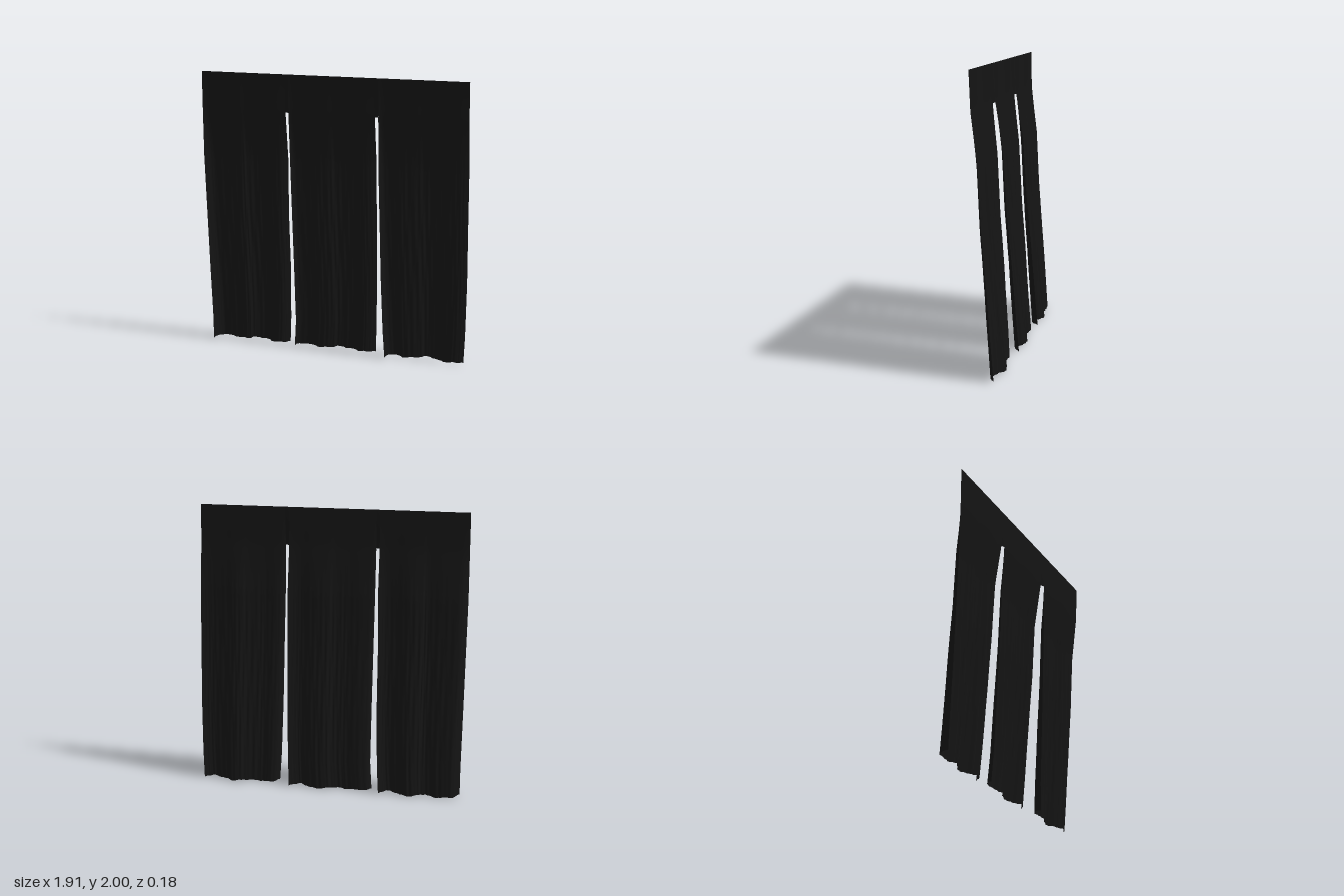
import * as THREE from 'three';

// Heights at which the hang of the cloth is described, top to bottom
const Y = [2, 1.74, 1.4, 1, 0.6, 0.2, 0];
// Foremost and rearmost depth of the folds at those heights
const FRONT = [0.088, 0.088, 0.085, 0.07, 0.055, 0.036, 0.031];
const BACK = [0.088, 0.074, 0.02, -0.003, -0.04, -0.07, -0.086];

// Side edges (x at each height) and fold profile (u across, 0 = front .. 1 = back)
const PANELS = [
  {
    name: 'rightPanel',
    left: [-0.96, -0.96, -0.96, -0.955, -0.95, -0.945, -0.945],
    right: [-0.34, -0.34, -0.342, -0.35, -0.353, -0.365, -0.378],
    fold: [[0, 0], [0.04, 0.5], [0.09, 0.75], [0.2, 0.78], [0.3, 0.74], [0.4, 0.6], [0.46, 0.62],
      [0.51, 0.85], [0.6, 1], [0.68, 0.94], [0.78, 0.64], [0.87, 0.5], [0.93, 0.58], [0.97, 0.78], [1, 0.97]],
  },
  {
    name: 'middlePanel',
    left: [-0.315, -0.315, -0.313, -0.308, -0.304, -0.302, -0.315],
    right: [0.305, 0.305, 0.305, 0.303, 0.298, 0.288, 0.28],
    fold: [[0, 0.3], [0.04, 0.66], [0.16, 0.78], [0.28, 0.66], [0.36, 0.64], [0.45, 0.7],
      [0.53, 0.97], [0.63, 1], [0.73, 0.9], [0.83, 0.62], [0.89, 0.6], [0.95, 0.75], [1, 0.97]],
  },
  {
    name: 'leftPanel',
    left: [0.333, 0.333, 0.335, 0.343, 0.35, 0.362, 0.375],
    right: [0.955, 0.955, 0.955, 0.953, 0.95, 0.94, 0.93],
    fold: [[0, 0.05], [0.04, 0.55], [0.12, 0.68], [0.22, 0.54], [0.3, 0.58], [0.42, 0.72],
      [0.51, 0.96], [0.6, 0.94], [0.7, 0.66], [0.82, 0.48], [0.9, 0.47], [0.96, 0.6], [1, 0.75]],
  },
];

// Linear lookup of a value listed against the heights
function atHeight(values, y) {
  let i = 0;
  while (i < Y.length - 2 && y < Y[i + 1]) i++;
  return THREE.MathUtils.lerp(values[i], values[i + 1], (Y[i] - y) / (Y[i] - Y[i + 1]));
}

// Grid surface from a rule giving the point for (column, row)
function sheet(cols, rows, point) {
  const pos = [], index = [];
  for (let r = 0; r <= rows; r++)
    for (let c = 0; c <= cols; c++) pos.push(...point(c / cols, r / rows));
  for (let r = 0; r < rows; r++)
    for (let c = 0; c < cols; c++) {
      const a = r * (cols + 1) + c, b = a + cols + 1;
      index.push(a, b, a + 1, b, b + 1, a + 1);
    }
  const g = new THREE.BufferGeometry();
  g.setAttribute('position', new THREE.Float32BufferAttribute(pos, 3));
  g.setIndex(index);
  g.computeVertexNormals();
  return g;
}

// Point on a panel: t runs across the folds, v runs down
function panelPoint(panel, curve, t, v) {
  const f = curve.getPoint(t);
  const y = 2 * (1 - v);
  const front = atHeight(FRONT, y), back = atHeight(BACK, y);
  // fine creases, fading out at the panel edges and near the top
  const fine = 0.003 * Math.sin(Math.PI * t) * THREE.MathUtils.smoothstep(v, 0.15, 0.5)
    * (Math.sin(t * 95 + 3 * Math.sin(v * 5)) + 0.6 * Math.sin(t * 151 + v * 9));
  // slightly uneven hem
  const hem = v ** 12 * (0.007 + 0.004 * Math.sin(t * 17) + 0.003 * Math.sin(t * 41));
  const x = THREE.MathUtils.lerp(atHeight(panel.left, y), atHeight(panel.right, y), f.x);
  return [x, y + hem, front + (back - front) * f.y + fine];
}

export function createModel() {
  const model = new THREE.Group();
  model.name = 'curtain';
  const cloth = new THREE.MeshStandardMaterial({ color: 0x141414, side: THREE.DoubleSide });
  const add = (name, geometry) => {
    const mesh = new THREE.Mesh(geometry, cloth);
    mesh.name = name;
    model.add(mesh);
  };

  const curves = PANELS.map(p => new THREE.SplineCurve(p.fold.map(([u, s]) => new THREE.Vector2(u, s))));

  // Three hanging panels
  PANELS.forEach((p, i) => add(p.name, sheet(120, 60, (t, v) => panelPoint(p, curves[i], t, v))));

  // Header strips joining neighbouring panels above the slits
  for (let i = 0; i < 2; i++) {
    add('headerJoin', sheet(2, 8, (t, v) => {
      const a = panelPoint(PANELS[i], curves[i], 1, v * 0.1325);
      const b = panelPoint(PANELS[i + 1], curves[i + 1], 0, v * 0.1325);
      return a.map((k, n) => THREE.MathUtils.lerp(k, b[n], t));
    }));
  }
  return model;
}
